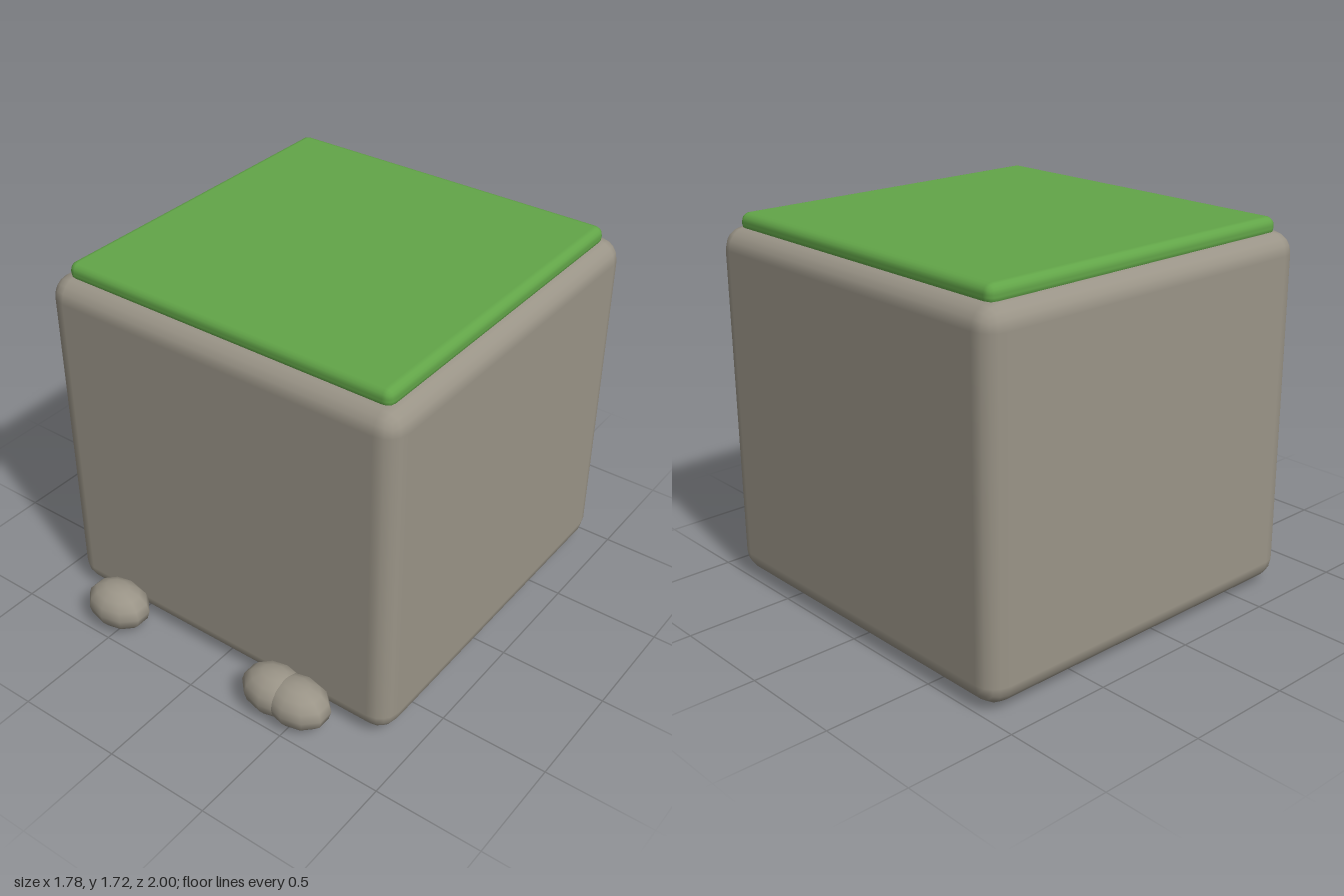
import * as THREE from 'three';
import { RoundedBoxGeometry } from 'three/addons/geometries/RoundedBoxGeometry.js';

export function createModel() {
  const stone = new THREE.MeshStandardMaterial({ name: 'stone', color: 0x9a9487 });
  const grass = new THREE.MeshStandardMaterial({ name: 'grass', color: 0x62a548 });
  const model = new THREE.Group();
  model.name = 'grassyBlock';

  const add = (name, geometry, material, x, y, z) => {
    const mesh = new THREE.Mesh(geometry, material);
    mesh.name = name;
    mesh.position.set(x, y, z);
    model.add(mesh);
    return mesh;
  };

  // Stone block with softly bevelled edges
  add('stoneBlock', new RoundedBoxGeometry(1.78, 1.635, 1.78, 2, 0.1), stone, 0, 0.838, -0.11);

  // Thin turf slab set into the top
  add('grassTop', new RoundedBoxGeometry(1.635, 0.09, 1.635, 2, 0.04), grass, 0, 1.67, -0.11);

  // Flattened pebbles along the front foot, a vertex ridge facing forward
  const pebble = new THREE.SphereGeometry(1, 10, 8);
  pebble.rotateY(Math.PI / 2);
  pebble.scale(0.161, 0.108, 0.119);
  [['pebbleRight', -0.533], ['pebbleLeftInner', 0.383], ['pebbleLeftOuter', 0.503]].forEach(
    ([name, x]) => add(name, pebble, stone, x, 0.108, 0.88)
  );

  return model;
}
